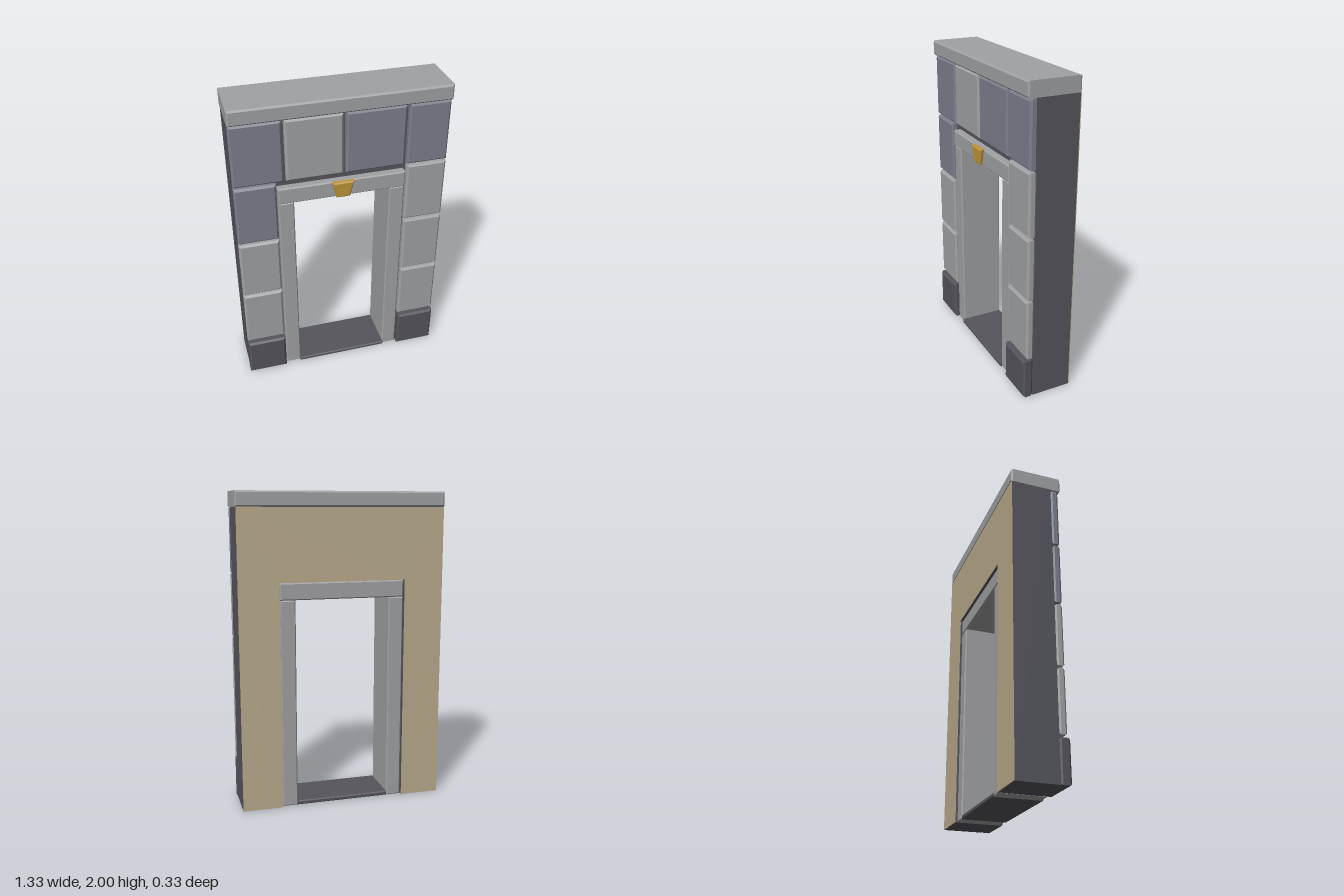
import * as THREE from 'three';

const mat = (name, color) => Object.assign(new THREE.MeshStandardMaterial({ color }), { name });

export function createModel() {
  const stone = mat('light stone', 0xa0a1a3);
  const slate = mat('blue slate', 0x7b7e8b);
  const dark = mat('dark stone', 0x54545b);
  const wallDark = mat('mortar wall', 0x55555d);
  const plaster = mat('plaster', 0xb9aa8c);
  const brass = mat('brass', 0xbd9336);

  const model = new THREE.Group();
  model.name = 'doorway';

  // Extrudes an outline from z0 to z1, with chamfers kept inside its size
  function slab(name, points, z0, z1, material, bevel = 0) {
    const shape = new THREE.Shape(points.map(([x, y]) => new THREE.Vector2(x, y)));
    const geometry = new THREE.ExtrudeGeometry(shape, {
      depth: z1 - z0 - 2 * bevel,
      bevelEnabled: bevel > 0,
      bevelThickness: bevel,
      bevelSize: bevel,
      bevelOffset: -bevel,
      bevelSegments: 1,
    });
    geometry.translate(0, 0, z0 + bevel);
    const mesh = new THREE.Mesh(geometry, material);
    mesh.name = name;
    model.add(mesh);
    return mesh;
  }
  const rect = (x0, x1, y0, y1) => [[x0, y0], [x1, y0], [x1, y1], [x0, y1]];

  // Wall around the opening, with a plaster skin on its back
  const arch = [
    [-0.66, 0], [-0.405, 0], [-0.405, 1.45], [0.405, 1.45],
    [0.405, 0], [0.66, 0], [0.66, 1.905], [-0.66, 1.905],
  ];
  slab('wall', arch, -0.16, 0.1, wallDark);
  slab('backPlaster', arch, -0.165, -0.16, plaster);

  // Coping along the top
  slab('coping', rect(-0.665, 0.665, 1.905, 2), -0.166, 0.166, stone, 0.01);

  // Top course of facing blocks
  [[-0.663, -0.36, slate], [-0.345, 0.003, stone], [0.02, 0.388, slate], [0.405, 0.663, slate]]
    .forEach(([x0, x1, m]) => slab('topBlock', rect(x0, x1, 1.5, 1.898), 0.1, 0.15, m, 0.012));

  // Side courses, resting on dark plinth blocks
  for (const side of [-1, 1]) {
    const column = (y0, y1) => (side < 0 ? rect(-0.663, -0.408, y0, y1) : rect(0.408, 0.663, y0, y1));
    slab('plinthBlock', column(0, 0.262), 0.1, 0.166, dark, 0.012);
    [0.278, 0.685, 1.093].forEach((y, i) => {
      const m = side < 0 && i === 2 ? slate : stone;
      slab('sideBlock', column(y, y + 0.395), 0.1, 0.15, m, 0.012);
    });
    // Door jamb
    const jamb = side < 0 ? rect(-0.4, -0.303, 0, 1.34) : rect(0.303, 0.4, 0, 1.34);
    slab('jamb', jamb, -0.15, 0.138, stone, 0.007);
  }

  // Lintel, keystone and threshold
  slab('lintel', rect(-0.4, 0.4, 1.34, 1.447), -0.15, 0.143, stone, 0.007);
  slab('keystone', [[-0.042, 1.342], [0.042, 1.342], [0.069, 1.447], [-0.069, 1.447]], 0.13, 0.165, brass, 0.009);
  slab('threshold', rect(-0.306, 0.306, 0, 0.027), -0.15, 0.15, dark, 0.006);

  return model;
}
